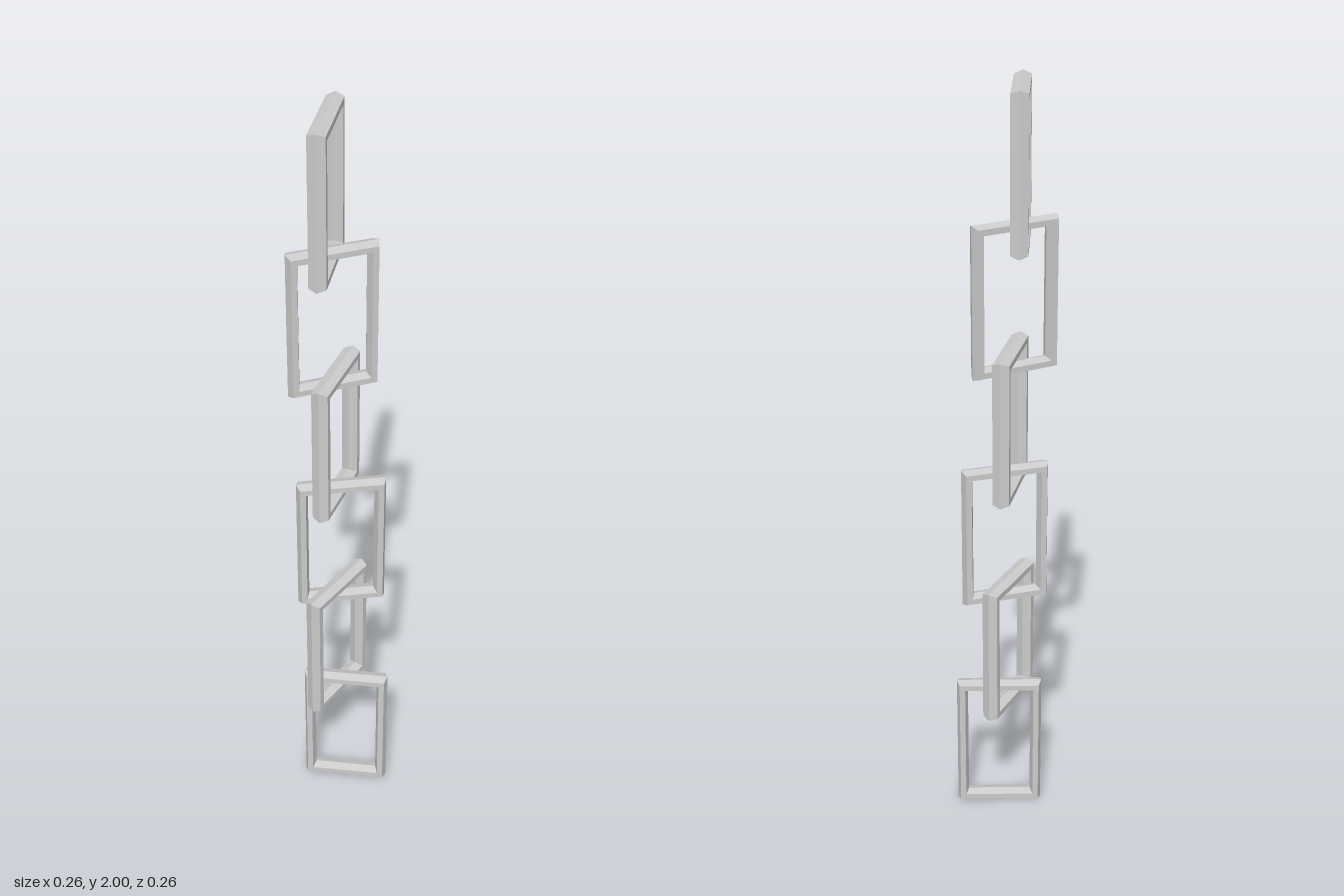
import * as THREE from 'three';

const HALF_W = 0.114, HALF_H = 0.1925; // outer size of a link
const BAR_R = 0.0148, BAR_D = 0.0243;  // hexagonal bar: radius in the link's plane, and across it
const STEP = 0.323;                    // rise from link to link

// Rectangular ring: a hexagon swept round four mitred corners
function linkGeometry() {
  const corners = [[1, -1], [1, 1], [-1, 1], [-1, -1]];
  const sides = 6, points = [];
  const point = (i, j) => {
    const [sx, sy] = corners[i % 4];
    const a = (j / sides) * Math.PI * 2;
    const out = BAR_R * (Math.cos(a) - 1);
    return [sx * (HALF_W + out), sy * (HALF_H + out), BAR_D * Math.sin(a)];
  };
  for (let i = 0; i < 4; i++) {
    for (let j = 0; j < sides; j++) {
      const a = point(i, j), b = point(i + 1, j), c = point(i + 1, j + 1), d = point(i, j + 1);
      points.push(...a, ...b, ...c, ...a, ...c, ...d);
    }
  }
  const geometry = new THREE.BufferGeometry();
  geometry.setAttribute('position', new THREE.Float32BufferAttribute(points, 3));
  geometry.computeVertexNormals();
  return geometry;
}

export function createModel() {
  const chain = new THREE.Group();
  chain.name = 'chain';
  const material = new THREE.MeshStandardMaterial({ color: 0xcccccc, flatShading: true });
  const geometry = linkGeometry();

  // Links from the bottom up: x, z, turn in degrees
  const links = [
    [0.014, 0.031, 0],
    [-0.011, 0.026, 62],
    [-0.001, 0.016, 15],
    [-0.015, 0.003, 76],
    [-0.024, -0.008, 26.5],
    [-0.038, -0.013, 86.5],
  ];
  links.forEach(([x, z, turn], i) => {
    const link = new THREE.Mesh(geometry, material);
    link.name = `link${i + 1}`;
    link.position.set(x, HALF_H + i * STEP, z);
    link.rotation.y = THREE.MathUtils.degToRad(turn);
    chain.add(link);
  });
  return chain;
}
